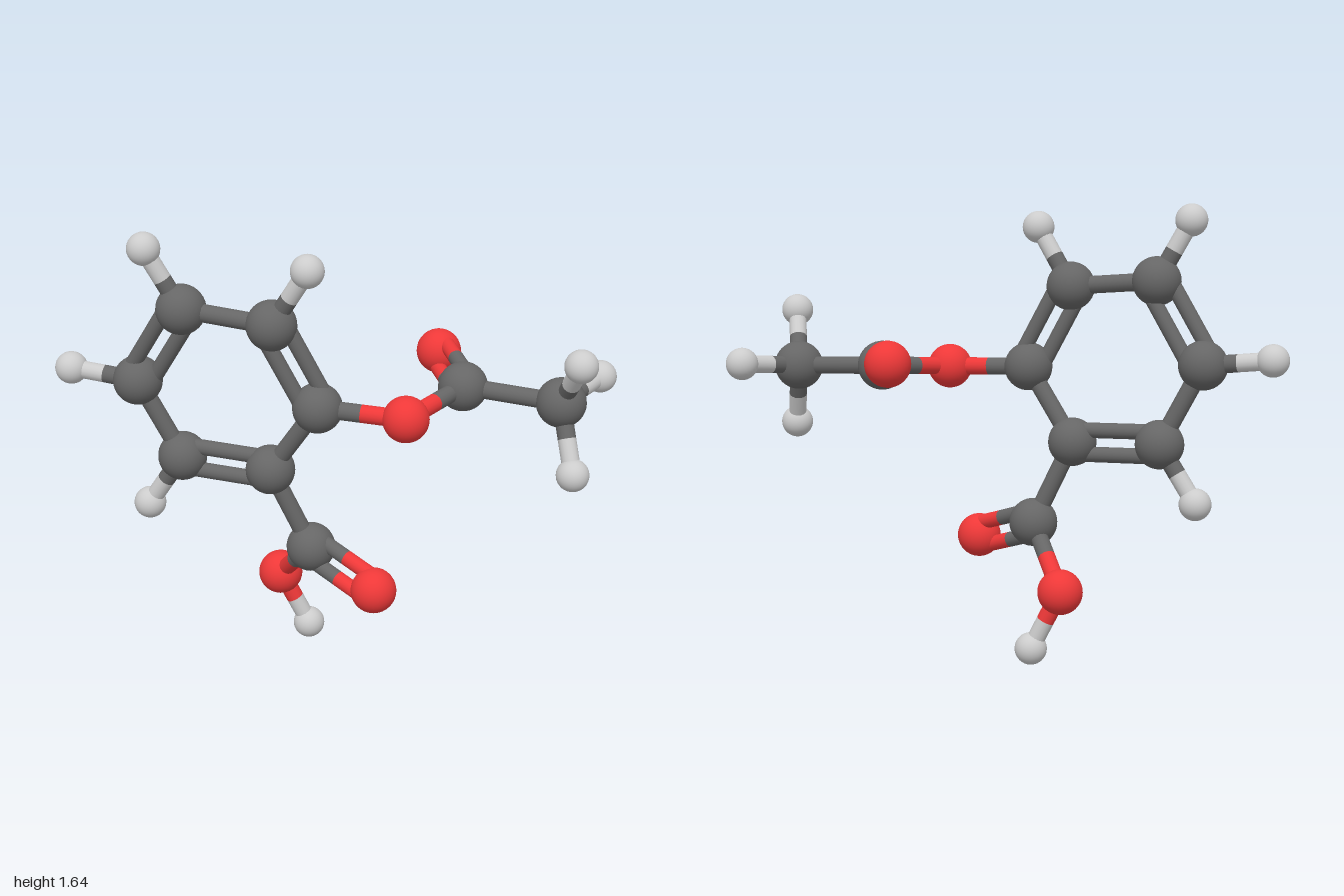
import * as THREE from 'three';

// Element styles: sphere radius and colour
const ELEMENTS = {
  C: { name: 'carbon', radius: 0.088, color: 0x666666 },
  O: { name: 'oxygen', radius: 0.081, color: 0xee3838 },
  H: { name: 'hydrogen', radius: 0.058, color: 0xcccccc },
};

// Atom centres; the first letter of each key is the element
const ATOMS = {
  // six-sided ring
  C1: [-0.53, 1.365, 0.08], C2: [-0.215, 1.34, 0.17], C3: [-0.06, 1.045, 0.18],
  C4: [-0.23, 0.78, 0.105], C5: [-0.55, 0.79, 0.01], C6: [-0.70, 1.075, 0.0],
  H1: [-0.65, 1.58, 0.083], H2: [-0.09, 1.55, 0.23],
  H5: [-0.68, 0.585, -0.035], H6: [-0.942, 1.1, -0.053],
  // lower acid branch
  C7: [-0.088, 0.48, 0.108], O1: [0.138, 0.393, 0.277],
  O2: [-0.21, 0.27, -0.104], H7: [-0.105, 0.06, -0.1],
  // side branch
  O3: [0.243, 1.035, 0.253], C8: [0.447, 1.06, 0.0], O4: [0.37, 1.093, -0.278],
  C9: [0.783, 1.045, 0.11], H8: [0.826, 1.237, 0.27],
  H9: [0.822, 0.82, 0.225], H10: [0.94, 1.067, -0.092],
};

const SINGLE = ['C1 C2', 'C3 C4', 'C5 C6', 'C1 H1', 'C2 H2', 'C5 H5', 'C6 H6',
  'C4 C7', 'C7 O2', 'O2 H7', 'C3 O3', 'O3 C8', 'C8 C9', 'C9 H8', 'C9 H9', 'C9 H10'];
const DOUBLE = ['C1 C6', 'C2 C3', 'C4 C5', 'C7 O1', 'C8 O4'];

export function createModel() {
  const model = new THREE.Group();
  model.name = 'ballAndStickMolecule';

  const materials = {}, balls = {};
  for (const [key, e] of Object.entries(ELEMENTS)) {
    materials[key] = new THREE.MeshStandardMaterial({ color: e.color });
    balls[key] = new THREE.SphereGeometry(e.radius, 32, 20);
  }
  const position = (id) => new THREE.Vector3(...ATOMS[id]);

  // Atoms
  for (const id of Object.keys(ATOMS)) {
    const atom = new THREE.Mesh(balls[id[0]], materials[id[0]]);
    atom.name = `${ELEMENTS[id[0]].name}Atom${id.slice(1)}`;
    atom.position.copy(position(id));
    model.add(atom);
  }

  // One open rod between two points
  const up = new THREE.Vector3(0, 1, 0);
  function addRod(parent, from, to, radius, material) {
    const dir = to.clone().sub(from);
    const rod = new THREE.Mesh(
      new THREE.CylinderGeometry(radius, radius, dir.length(), 16, 1, true), material);
    rod.name = 'bondRod';
    rod.position.copy(from).lerp(to, 0.5);
    rod.quaternion.setFromUnitVectors(up, dir.normalize());
    parent.add(rod);
  }

  // A bond: each half takes the colour of its own atom
  function addBond(pair, offsets, radius, name) {
    const [a, b] = pair.split(' ');
    const group = new THREE.Group();
    group.name = name;
    const dir = position(b).sub(position(a));
    const side = dir.cross(new THREE.Vector3(0, 0, 1)).normalize();
    for (const offset of offsets) {
      const start = position(a).addScaledVector(side, offset);
      const end = position(b).addScaledVector(side, offset);
      const middle = start.clone().lerp(end, 0.5);
      addRod(group, start, middle, radius, materials[a[0]]);
      addRod(group, middle, end, radius, materials[b[0]]);
    }
    model.add(group);
  }

  SINGLE.forEach((pair) => addBond(pair, [0], 0.032, 'singleBond'));
  DOUBLE.forEach((pair) => addBond(pair, [-0.044, 0.044], 0.028, 'doubleBond'));

  return model;
}
